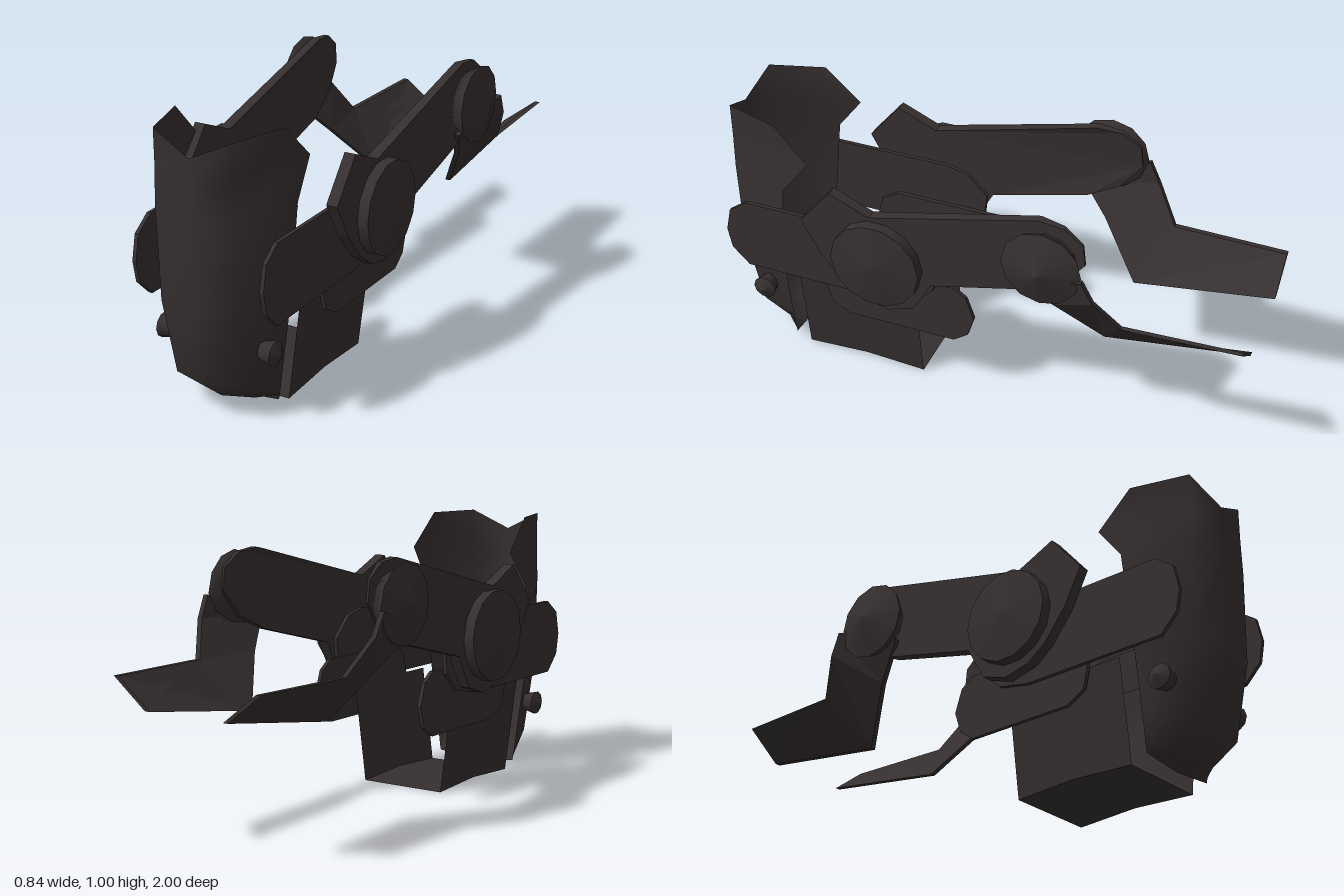
import * as THREE from 'three';

const dark = new THREE.MeshStandardMaterial({ color: 0x362f2f, side: THREE.DoubleSide });
dark.name = 'charcoal';

function part(name, geometry, parent) {
  const mesh = new THREE.Mesh(geometry, dark);
  mesh.name = name;
  parent.add(mesh);
  return mesh;
}

// Side plate from a [z, y] outline, spanning x0 to x1
function plate(outline, x0, x1) {
  const shape = new THREE.Shape(outline.map(([z, y]) => new THREE.Vector2(z, y)));
  return new THREE.ExtrudeGeometry(shape, { depth: x1 - x0, bevelEnabled: false })
    .rotateY(-Math.PI / 2).translate(x1, 0, 0);
}

// Round part turned about the x axis from [radius, x] points
function turned(profile, sides, y, z) {
  return new THREE.LatheGeometry(profile.map(([r, h]) => new THREE.Vector2(r, h)), sides)
    .rotateZ(-Math.PI / 2).translate(0, y, z);
}

// Surface through rows of points
function skin(rows, closed = false) {
  const n = rows[0].length, index = [];
  for (let i = 0; i < rows.length - 1; i++) {
    for (let j = 0; j < (closed ? n : n - 1); j++) {
      const a = i * n + j, b = i * n + (j + 1) % n;
      index.push(a, a + n, b, b, a + n, b + n);
    }
  }
  const g = new THREE.BufferGeometry();
  g.setAttribute('position', new THREE.Float32BufferAttribute(rows.flat(2), 3));
  g.setIndex(index);
  return g;
}

// Curved front shield: each level gives side, fold and centre as [x, y, z]
function shieldGeometry() {
  const levels = [
    [[0.21, 1, 0.77], [0.15, 1, 0.975], [0, 0.93, 1]],
    [[0.222, 0.87, 0.64], [0.15, 0.87, 0.975], [0, 0.85, 1]],
    [[0.235, 0.74, 0.74], [0.155, 0.74, 0.975], [0, 0.74, 1]],
    [[0.222, 0.4, 0.77], [0.15, 0.4, 0.97], [0, 0.4, 1]],
    [[0.185, 0.13, 0.77], [0.135, 0.12, 0.92], [0, 0.12, 0.96]],
    [[0.174, 0.045, 0.77], [0.115, 0.045, 0.83], [0, 0.037, 0.86]],
    [[0.17, 0.025, 0.77], [0.09, 0.017, 0.77], [0, 0.01, 0.77]],
  ];
  const rows = levels.map(([side, fold, mid]) => [
    side, fold, mid, ...[fold, side].map(([x, y, z]) => [-x, y, z]),
  ]);
  const g = skin(rows.map(r => r.reverse()));
  g.computeVertexNormals();
  return g;
}

// Open trough with a slightly arched floor
function troughGeometry() {
  const rows = [[0.71, 0], [0.47, 0.013], [0.235, 0]].map(([z, y]) => [
    [-0.22, 0.37, z], [-0.172, y, z], [0.172, y, z], [0.22, 0.37, z],
  ]);
  const g = skin(rows).toNonIndexed();
  g.computeVertexNormals();
  return g;
}

// Bent lower leg: outer and inner edge at each station, with some thickness
function shinGeometry() {
  const stations = [
    [[0.31, 0.575, -1], [0.175, 0.47, -1]],
    [[0.325, 0.57, -0.575], [0.175, 0.39, -0.475]],
    [[0.385, 0.7, -0.49], [0.285, 0.57, -0.32]],
    [[0.39, 0.78, -0.45], [0.345, 0.69, -0.2]],
  ];
  const rows = stations.map(([a, b]) => [
    a, b, [b[0] - 0.02, b[1], b[2]], [a[0] - 0.02, a[1], a[2]],
  ]);
  const g = skin(rows, true);
  g.setIndex([...g.index.array, 0, 1, 2, 0, 2, 3, 12, 14, 13, 12, 15, 14]);
  const flat = g.toNonIndexed();
  flat.computeVertexNormals();
  return flat;
}

// Thigh plate, thinning towards the knee
function thighGeometry() {
  const g = plate([
    [0.63, 0.7], [0.56, 0.57], [0.47, 0.46], [0.4, 0.41], [0.3, 0.387], [0.2, 0.42], [0.13, 0.545],
    [-0.24, 0.64], [-0.36, 0.7], [-0.44, 0.8], [-0.43, 0.88], [-0.36, 0.93], [-0.27, 0.94],
    [0.36, 0.78], [0.51, 0.845],
  ], 0.275, 0.317);
  const p = g.attributes.position;
  for (let i = 0; i < p.count; i++) {
    const t = THREE.MathUtils.clamp((-0.2 - p.getZ(i)) / 0.25, 0, 1);
    if (p.getX(i) < 0.3) p.setX(i, 0.275 + 0.035 * t);
  }
  g.computeVertexNormals();
  return g;
}

function buildSide(sign) {
  const side = new THREE.Group();
  side.name = sign > 0 ? 'leftSide' : 'rightSide';
  side.scale.x = sign;

  part('upperSidePlate', plate([
    [0.98, 0.52], [0.965, 0.44], [0.9, 0.375], [0.34, 0.375], [0.22, 0.4], [0.15, 0.47], [0.14, 0.56],
    [0.22, 0.64], [0.3, 0.66], [0.89, 0.66], [0.96, 0.61],
  ], 0.238, 0.253), side);
  part('lowerSidePlate', plate([
    [0.59, 0.37], [0.57, 0.29], [0.5, 0.25], [0.08, 0.25], [0.025, 0.29], [0, 0.37],
    [0.03, 0.455], [0.08, 0.49], [0.5, 0.49], [0.57, 0.45],
  ], 0.222, 0.237), side);
  part('thigh', thighGeometry(), side);
  part('shinAndFoot', shinGeometry(), side);

  // Joint covers and the small lamp-like knob
  part('hipDisc', turned(
    [[0, 0.315], [0.17, 0.315], [0.17, 0.315], [0.17, 0.357], [0.17, 0.357], [0, 0.38]], 14, 0.6, 0.33), side);
  part('kneeDisc', turned(
    [[0, 0.32], [0.115, 0.32], [0.145, 0.372], [0.145, 0.372], [0, 0.42]], 12, 0.785, -0.3), side);
  part('knob', turned(
    [[0, 0.165], [0.033, 0.17], [0.033, 0.17], [0.045, 0.222], [0.045, 0.222], [0, 0.245]], 10, 0.25, 0.865), side);
  return side;
}

export function createModel() {
  const model = new THREE.Group();
  model.name = 'walkerLegs';
  part('frontShield', shieldGeometry(), model);
  part('bodyTrough', troughGeometry(), model);
  model.add(buildSide(1), buildSide(-1));
  return model;
}
